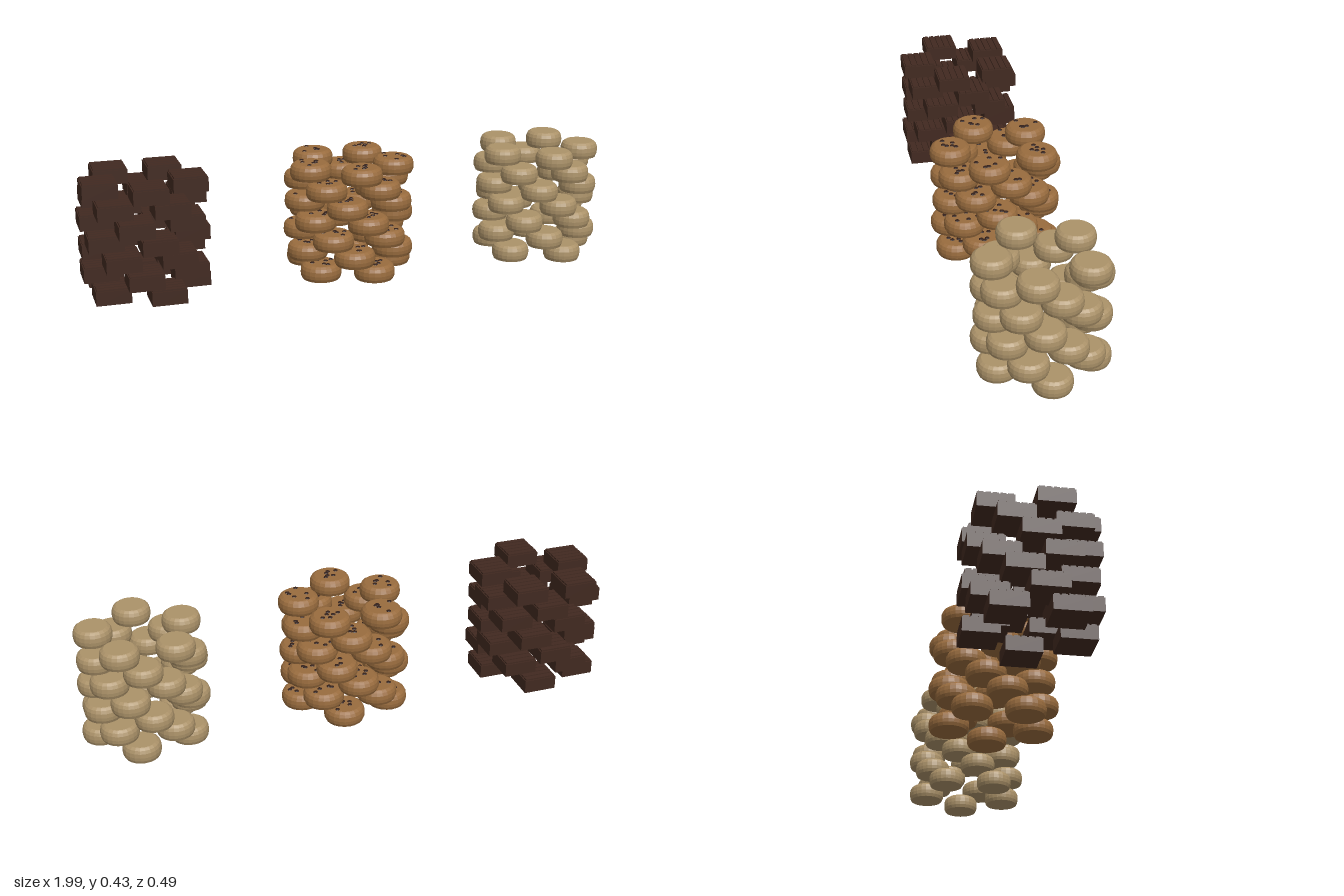
import * as THREE from 'three';

const mat = (name, color, flat = true) => {
  const m = new THREE.MeshStandardMaterial({ color, flatShading: flat });
  m.name = name;
  return m;
};

const LAYERS = 7, PER_RING = 5, PITCH = 0.0617, RING = 0.167, TWIST = 27;

// Places one treat at each spot of a twisting ring stack
function buildStack(name, x, makeTreat) {
  const stack = new THREE.Group();
  stack.name = name;
  stack.position.x = x;
  for (let layer = 0; layer < LAYERS; layer++) {
    for (let i = 0; i < PER_RING; i++) {
      const a = THREE.MathUtils.degToRad(layer * TWIST + i * 360 / PER_RING);
      const treat = makeTreat(layer * PER_RING + i);
      treat.position.set(Math.cos(a) * RING, layer * PITCH, Math.sin(a) * RING);
      stack.add(treat);
    }
  }
  return stack;
}

// Rounded cookie body with a flat bottom and a flat top disc
function cookieGeometry(r, h) {
  const profile = [
    [0, 0], [0.91, 0], [0.98, 0.2], [1, 0.42], [0.98, 0.68],
    [0.91, 0.87], [0.8, 0.97], [0.76, 1], [0, 1],
  ].map(([px, py]) => new THREE.Vector2(px * r, py * h));
  return new THREE.LatheGeometry(profile, 22);
}

export function createModel() {
  const model = new THREE.Group();
  model.name = 'treatStacks';

  const chocolate = mat('dark chocolate', 0x412920);
  const brownDough = mat('brown dough', 0x996c3e);
  const tanDough = mat('tan dough', 0xab9269);
  const chipMat = mat('chocolate chip', 0x33201a);

  let seed = 7;
  const rand = () => (seed = (seed * 16807) % 2147483647) / 2147483647;

  // Chocolate squares: slab with low ridges across the top
  const size = 0.125;
  const slab = new THREE.BoxGeometry(size, 0.051, size).translate(0, 0.0255, 0);
  const ridge = new THREE.BoxGeometry(size * 0.94, 0.006, size * 0.15).translate(0, 0.054, 0);
  model.add(buildStack('chocolateStack', -0.77, () => {
    const g = new THREE.Group();
    g.name = 'chocolateSquare';
    const body = new THREE.Mesh(slab, chocolate);
    body.name = 'slab';
    g.add(body);
    for (let k = -2; k <= 2; k++) {
      const m = new THREE.Mesh(ridge, chocolate);
      m.name = 'topRidge';
      m.position.z = k * size * 0.195;
      g.add(m);
    }
    return g;
  }));

  // Chip cookies: body with a scatter of flattened chips on top
  const chipCookie = cookieGeometry(0.076, 0.058);
  const chip = new THREE.SphereGeometry(0.009, 8, 6).scale(1, 0.4, 1);
  model.add(buildStack('chipCookieStack', 0, () => {
    const g = new THREE.Group();
    g.name = 'chipCookie';
    const body = new THREE.Mesh(chipCookie, brownDough);
    body.name = 'cookieBody';
    g.add(body);
    for (let k = 0; k < 6; k++) {
      const a = k * 2.4 + rand() * 1.2, d = 0.01 + 0.04 * rand();
      const m = new THREE.Mesh(chip, chipMat);
      m.name = 'chip';
      m.position.set(Math.cos(a) * d, 0.058, Math.sin(a) * d);
      g.add(m);
    }
    return g;
  }));

  // Plain cookies
  const plainCookie = cookieGeometry(0.07, 0.06);
  model.add(buildStack('plainCookieStack', 0.758, () => {
    const m = new THREE.Mesh(plainCookie, tanDough);
    m.name = 'plainCookie';
    return m;
  }));

  return model;
}
